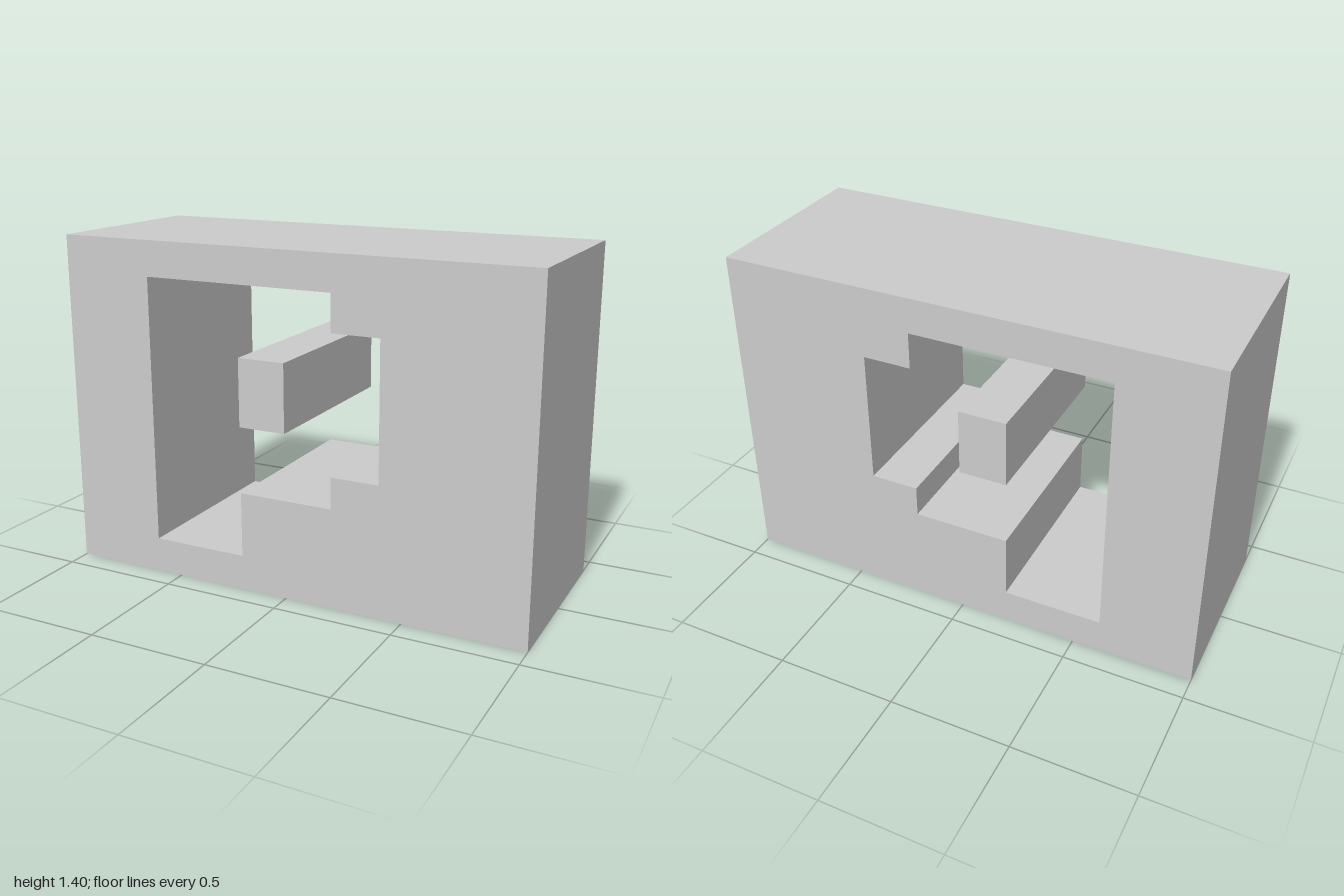
import * as THREE from 'three';

export function createModel() {
  const group = new THREE.Group();
  group.name = 'letterformBlock'.replace('letterform', 'cutout');
  const material = new THREE.MeshStandardMaterial({ color: 0xcccccc, flatShading: true });
  const depth = 0.8;
  const points = (list) => list.map(([x, y]) => new THREE.Vector2(x, y));

  // Solid slab with a stepped opening running right through it
  const outline = new THREE.Shape(points([[-1, 0], [1, 0], [1, 1.4], [-1, 1.4]]));
  outline.holes.push(new THREE.Path(points([
    [-0.61, 0.145], [-0.61, 1.255], [0.2, 1.255], [0.2, 1.105], [0.4, 1.105],
    [0.4, 0.545], [0.2, 0.545], [0.2, 0.415], [-0.2, 0.415], [-0.2, 0.145],
  ])));
  const slabGeometry = new THREE.ExtrudeGeometry(outline, { depth, bevelEnabled: false });
  slabGeometry.translate(0, 0, -depth / 2);
  const slab = new THREE.Mesh(slabGeometry, material);
  slab.name = 'slab';
  group.add(slab);

  // Free-standing bar inside the opening, flush with both faces
  const bar = new THREE.Mesh(new THREE.BoxGeometry(0.2, 0.28, depth), material);
  bar.name = 'centreBar';
  bar.position.set(-0.1, 0.83, 0);
  group.add(bar);

  return group;
}
